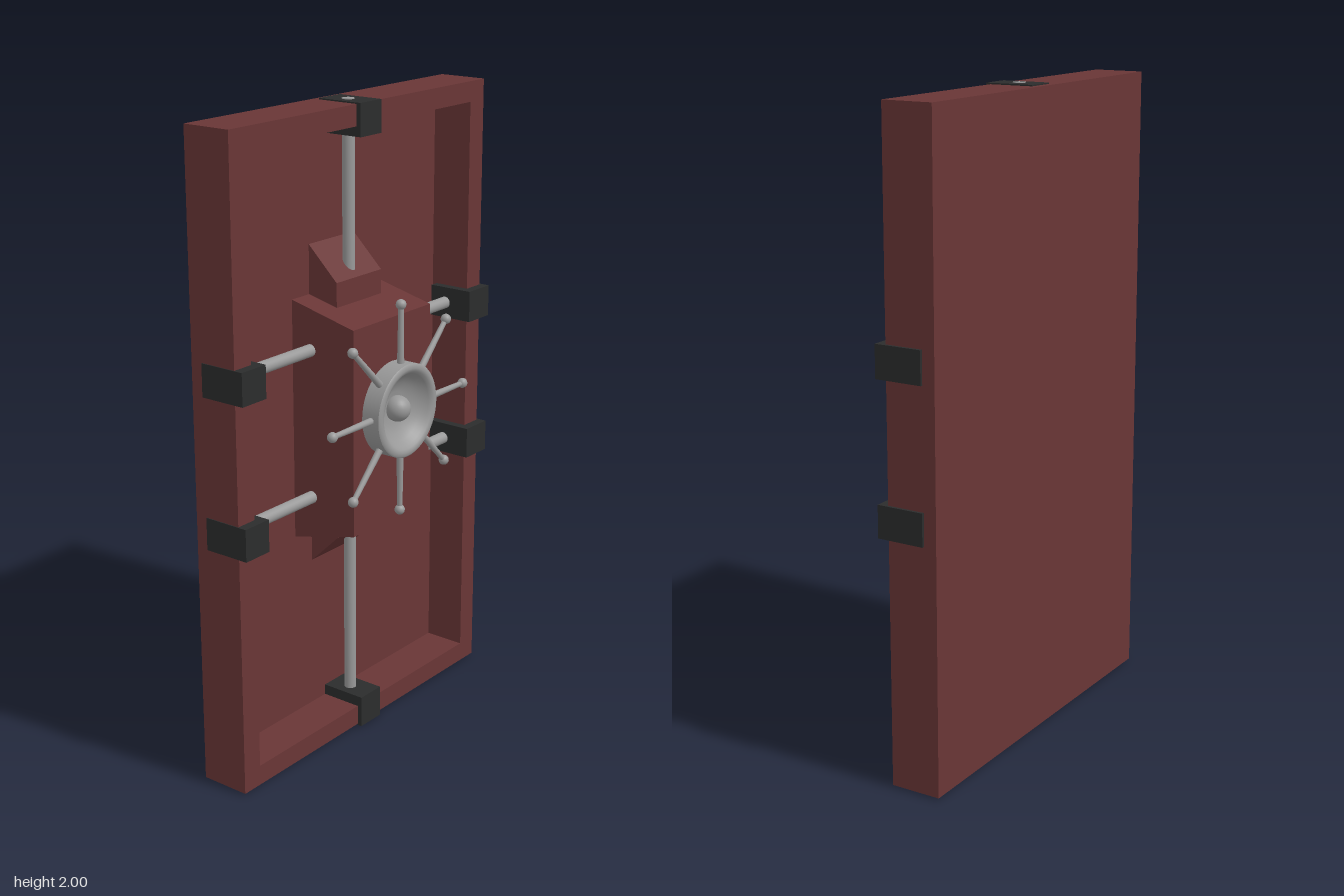
import * as THREE from 'three';

export function createModel() {
  const model = new THREE.Group();
  const mat = (name, color, side = THREE.FrontSide) => {
    const m = new THREE.MeshStandardMaterial({ color, side });
    m.name = name;
    return m;
  };
  const paint = mat('oxblood paint', 0x693636);
  const steel = mat('steel', 0x999999, THREE.DoubleSide);
  const iron = mat('dark iron', 0x2b2c2c);

  const add = (name, geometry, material, parent = model) => {
    const mesh = new THREE.Mesh(geometry, material);
    mesh.name = name;
    parent.add(mesh);
    return mesh;
  };
  // Box given by its limits on each axis
  const block = (name, [x0, x1], [y0, y1], [z0, z1], material) =>
    add(name, new THREE.BoxGeometry(x1 - x0, y1 - y0, z1 - z0), material)
      .position.set((x0 + x1) / 2, (y0 + y1) / 2, (z0 + z1) / 2);
  // Side profile of [z, y] points, extruded across x
  const prism = (name, points, x0, x1) => {
    const shape = new THREE.Shape(points.map(p => new THREE.Vector2(...p)));
    const g = new THREE.ExtrudeGeometry(shape, { depth: x1 - x0, bevelEnabled: false });
    g.rotateY(-Math.PI / 2).translate(x1, 0, 0);
    add(name, g, paint);
  };
  const rect = (path, x0, x1, y0, y1) =>
    path.moveTo(x0, y0).lineTo(x1, y0).lineTo(x1, y1).lineTo(x0, y1).closePath();

  const back = -0.135; // floor of the recess
  const cx = -0.004;   // centre line of the door

  // Door slab with a deep recessed front
  const rim = new THREE.Shape();
  rect(rim, -0.597, 0.591, 0.006, 1.994);
  const opening = new THREE.Path();
  rect(opening, -0.528, 0.52, 0.07, 1.93);
  rim.holes.push(opening);
  const rimGeo = new THREE.ExtrudeGeometry(rim, { depth: -back, bevelEnabled: false });
  add('doorFrame', rimGeo.translate(0, 0, back), paint);
  block('doorPanel', [-0.597, 0.591], [0.006, 1.994], [-0.16, back], paint);

  // Lock housing and the wedge blocks above and below it
  prism('lockHousing', [[back, 0.67], [0.095, 0.727], [0.095, 1.37], [back, 1.425]], -0.19, 0.186);
  prism('upperWedge', [[back, 1.38], [-0.03, 1.38], [-0.03, 1.475], [back, 1.577]], -0.11, 0.104);
  prism('lowerWedge', [[back, 0.565], [-0.03, 0.667], [-0.03, 0.71], [back, 0.71]], -0.11, 0.104);

  // Sliding bolts
  const bolt = (name, length, x, y, sideways) => {
    const rod = add(name, new THREE.CylinderGeometry(0.019, 0.019, length, 24), steel);
    rod.position.set(x, y, -0.066);
    if (sideways) rod.rotation.z = Math.PI / 2;
  };
  bolt('upperBolt', 0.53, -0.007, 1.735, false);
  bolt('lowerBolt', 0.68, -0.007, 0.34, false);
  for (const y of [0.818, 1.282]) {
    bolt('leftBolt', 0.42, 0.36, y, true);
    bolt('rightBolt', 0.42, -0.36, y, true);
    // Side brackets around the outer ends of the bolts
    block('leftBracket', [0.492, 0.6], [y - 0.05, y + 0.05], [-0.12, 0.03], iron);
    block('rightBracket', [-0.6, -0.5], [y - 0.05, y + 0.05], [-0.12, 0.03], iron);
  }
  block('topBracket', [-0.052, 0.045], [1.9, 1.998], [-0.139, 0.015], iron);
  block('bottomBracket', [-0.052, 0.045], [0.002, 0.104], [-0.139, 0.015], iron);

  // Hand wheel: dished hub, centre knob and eight spokes
  const wheel = new THREE.Group();
  wheel.name = 'handWheel';
  wheel.position.set(cx, 1.09, 0);
  model.add(wheel);

  const side = add('hubSide', new THREE.CylinderGeometry(0.145, 0.145, 0.06, 48, 1, true), steel, wheel);
  side.rotation.x = Math.PI / 2;
  side.position.z = 0.125;
  const dish = [[0.145, 0.155], [0.14, 0.159], [0.13, 0.16], [0.12, 0.157], [0.113, 0.148],
    [0.1, 0.132], [0.08, 0.117], [0.05, 0.104], [0, 0.1]].map(p => new THREE.Vector2(...p));
  const dishGeo = new THREE.LatheGeometry(dish.reverse(), 48);
  add('hubDish', dishGeo.rotateX(Math.PI / 2), steel, wheel);
  add('hubKnob', new THREE.SphereGeometry(0.04, 24, 16), steel, wheel).position.z = 0.117;

  for (let i = 0; i < 8; i++) {
    const spoke = new THREE.Group();
    spoke.name = 'spoke';
    spoke.rotation.z = i * Math.PI / 4;
    wheel.add(spoke);
    add('spokeRod', new THREE.CylinderGeometry(0.008, 0.011, 0.19, 12), steel, spoke)
      .position.set(0, 0.23, 0.127);
    add('spokeKnob', new THREE.SphereGeometry(0.016, 16, 12), steel, spoke)
      .position.set(0, 0.324, 0.127);
  }
  return model;
}
